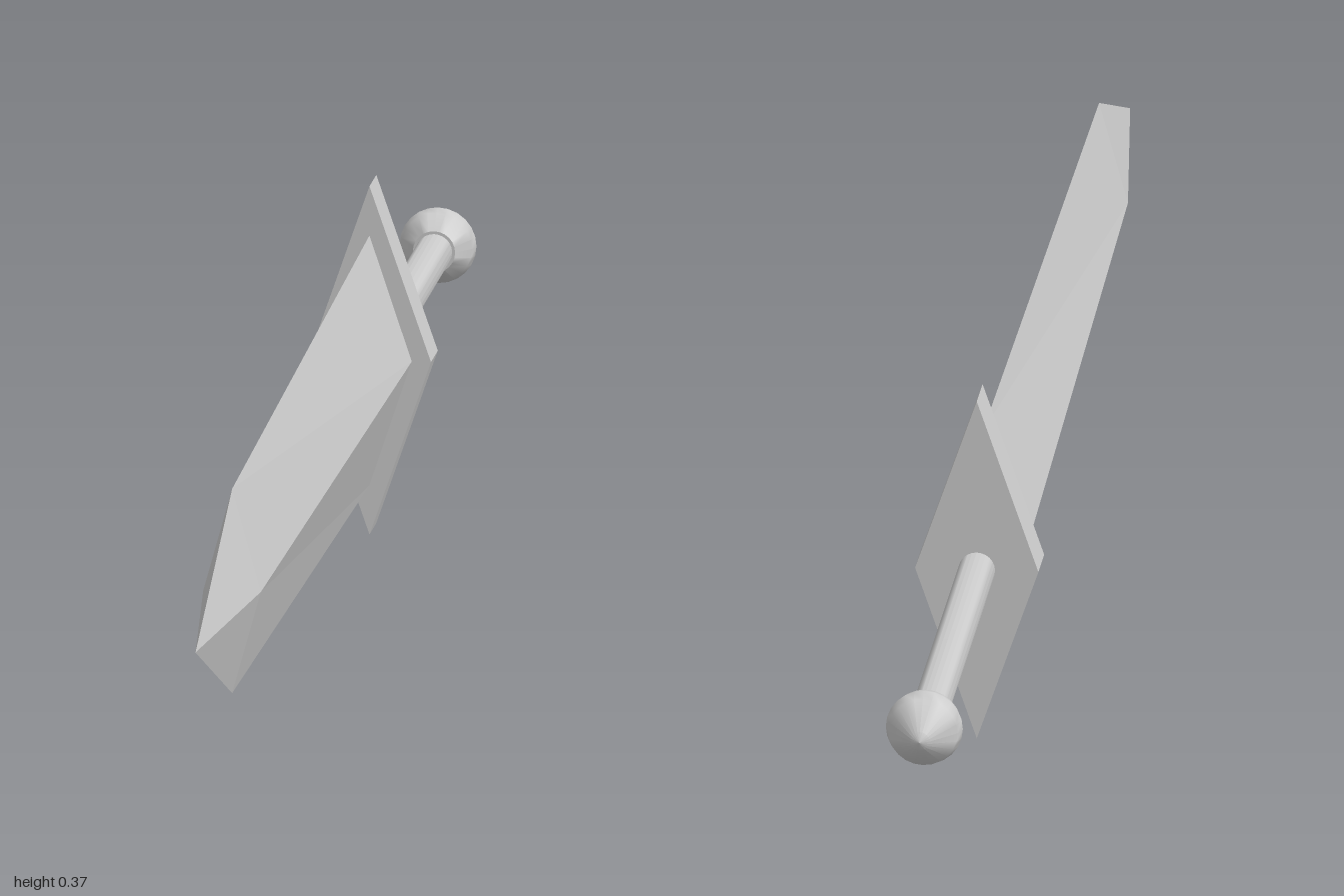
import * as THREE from 'three';
import { toCreasedNormals } from 'three/addons/utils/BufferGeometryUtils.js';

const AXIS_Y = 0.185; // height of the sword's long axis

// Diamond cross-sections [z, halfWidth, halfHeight], ordered from back to front
function diamondLoft(sections) {
  const positions = [];
  const corners = sections.map(([z, w, h]) => [[w, 0, z], [0, h, z], [-w, 0, z], [0, -h, z]]);
  const tri = (a, b, c) => positions.push(...a, ...b, ...c);
  for (let s = 0; s < corners.length - 1; s++) {
    const back = corners[s], front = corners[s + 1];
    const pointed = sections[s + 1][1] === 0;
    for (let i = 0; i < 4; i++) {
      const j = (i + 1) % 4;
      tri(back[i], back[j], front[j]);
      if (!pointed) tri(back[i], front[j], front[i]);
    }
  }
  const first = corners[0], last = corners[corners.length - 1];
  tri(first[0], first[2], first[1]);
  tri(first[0], first[3], first[2]);
  if (sections[sections.length - 1][1] > 0) {
    tri(last[0], last[1], last[2]);
    tri(last[0], last[2], last[3]);
  }
  const geometry = new THREE.BufferGeometry();
  geometry.setAttribute('position', new THREE.Float32BufferAttribute(positions, 3));
  geometry.computeVertexNormals();
  return geometry;
}

// Round part turned about the long axis from [radius, z] points, ordered from back to front
function turned(profile) {
  const lathe = new THREE.LatheGeometry(profile.map(([r, z]) => new THREE.Vector2(r, z)), 24);
  lathe.rotateX(Math.PI / 2);
  return toCreasedNormals(lathe, 0.6);
}

export function createModel() {
  const sword = new THREE.Group();
  sword.name = 'sword';
  const material = new THREE.MeshStandardMaterial({ color: 0xcccccc });
  const add = (name, geometry) => {
    const mesh = new THREE.Mesh(geometry, material);
    mesh.name = name;
    mesh.position.y = AXIS_Y;
    sword.add(mesh);
  };

  // Tapering blade with a pointed tip
  add('blade', diamondLoft([[-0.4, 0.044, 0.132], [0.705, 0.03, 0.108], [1, 0, 0]]));

  // Diamond plate between blade and handle
  add('guard', diamondLoft([[-0.455, 0.064, 0.184], [-0.4, 0.064, 0.184]]));

  // Slim round grip
  add('handle', turned([[0, -0.935], [0.019, -0.935], [0.019, -0.45], [0, -0.45]]));

  // Knob with a conical end
  add('pommel', turned([
    [0, -1], [0.01, -0.995], [0.036, -0.966], [0.04, -0.952],
    [0.037, -0.939], [0.022, -0.919], [0, -0.919],
  ]));

  return sword;
}
